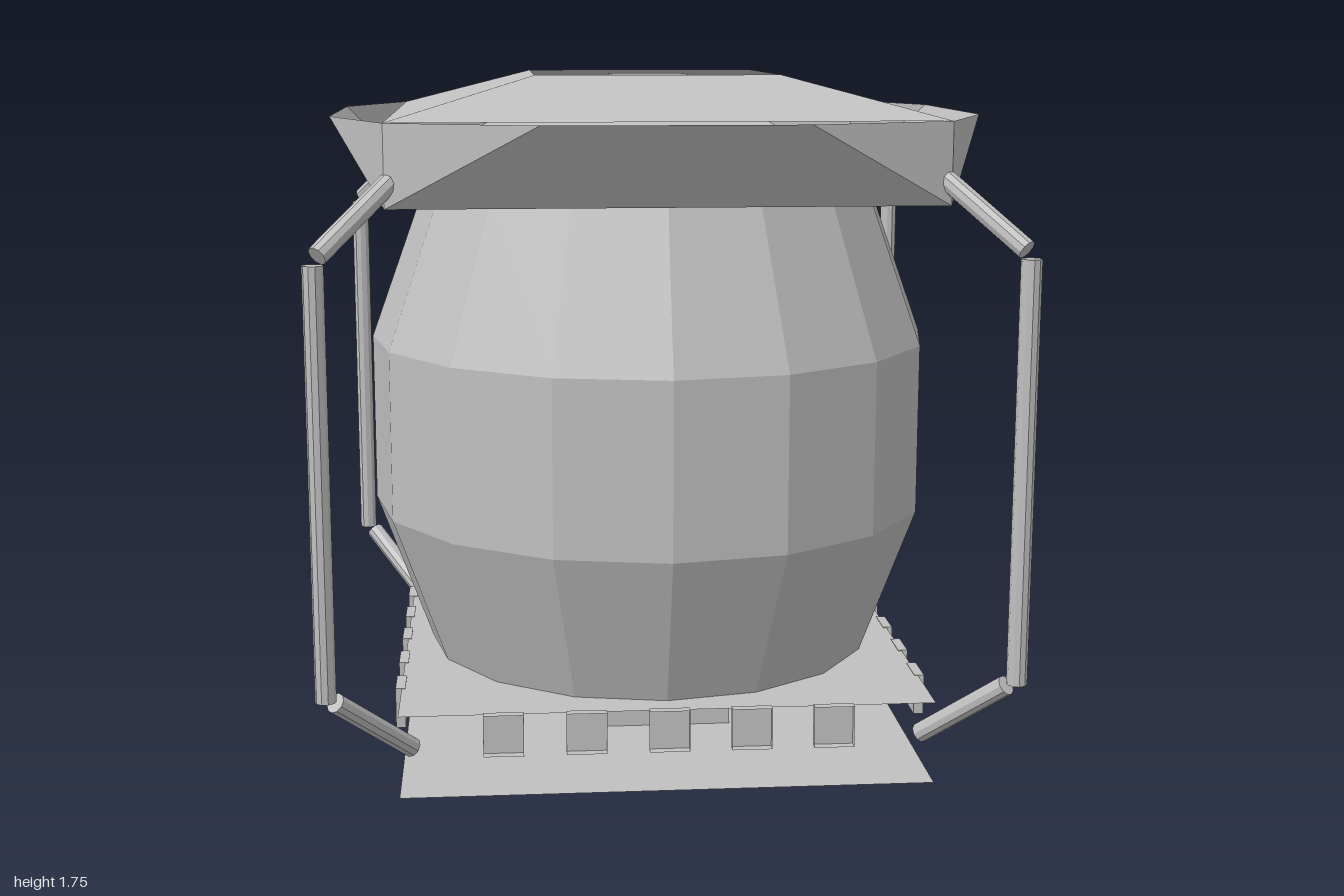
import * as THREE from 'three';

const CZ = 0.15; // centre of the body along z

export function createModel() {
  const group = new THREE.Group();
  const grey = new THREE.MeshStandardMaterial({ color: 0xc0c0c0, flatShading: true, side: THREE.DoubleSide });
  grey.name = 'plainGrey';

  function add(geometry, name, parent = group) {
    const mesh = new THREE.Mesh(geometry, grey);
    mesh.name = name;
    parent.add(mesh);
    return mesh;
  }

  function polygon(points) {
    const g = new THREE.BufferGeometry();
    g.setAttribute('position', new THREE.Float32BufferAttribute(points.flat(), 3));
    g.setIndex(points.length === 4 ? [0, 1, 2, 0, 2, 3] : [0, 1, 2]);
    g.computeVertexNormals();
    return g;
  }

  // Round rod between two points
  function rod(a, b, name, parent = group) {
    const start = new THREE.Vector3(...a), end = new THREE.Vector3(...b);
    const dir = end.clone().sub(start);
    const mesh = add(new THREE.CylinderGeometry(0.025, 0.025, dir.length(), 10), name, parent);
    mesh.position.copy(start).add(end).multiplyScalar(0.5);
    mesh.quaternion.setFromUnitVectors(new THREE.Vector3(0, 1, 0), dir.normalize());
  }

  // Flat horizontal square sheet with an optional square hole
  function sheet(half, hole, y, name) {
    const square = (C, h) => new C([[-h, -h], [h, -h], [h, h], [-h, h]].map(p => new THREE.Vector2(...p)));
    const shape = square(THREE.Shape, half);
    if (hole) shape.holes.push(square(THREE.Path, hole));
    const g = new THREE.ShapeGeometry(shape);
    g.rotateX(-Math.PI / 2);
    add(g, name).position.set(0, y, CZ);
  }

  // Open square tube
  function squareTube(half, y0, y1, name) {
    const g = new THREE.CylinderGeometry(half * Math.SQRT2, half * Math.SQRT2, y1 - y0, 4, 1, true);
    g.rotateY(Math.PI / 4);
    add(g, name).position.set(0, (y0 + y1) / 2, CZ);
  }

  // Open barrel body
  const profile = [[0.6, 0.21], [0.745, 0.605], [0.745, 1.05], [0.6, 1.45]].map(p => new THREE.Vector2(...p));
  add(new THREE.LatheGeometry(profile, 16), 'barrelBody').position.z = CZ;

  // Base sheets and central recess
  sheet(0.667, 0.205, 0, 'lowerPlate');
  sheet(0.667, 0, 0.21, 'upperPlate');
  squareTube(0.205, 0, 0.105, 'recessWalls');
  sheet(0.205, 0, 0.105, 'recessTop');

  // Small ring in the roof opening
  squareTube(0.1, 1.695, 1.745, 'roofRing');

  // Four identical sides: roof panel, flared flap, corner gussets, window boxes, leg
  for (let i = 0; i < 4; i++) {
    const side = new THREE.Group();
    side.name = 'side' + (i + 1);
    side.position.z = CZ;
    side.rotation.y = i * Math.PI / 2;
    group.add(side);

    add(polygon([[-0.67, 1.65, 0.67], [0.67, 1.65, 0.67], [0.31, 1.75, 0.31], [-0.31, 1.75, 0.31]]), 'roofPanel', side);
    add(polygon([[-0.67, 1.45, 0.67], [0.67, 1.45, 0.67], [0.31, 1.65, 0.82], [-0.31, 1.65, 0.82]]), 'roofFlap', side);
    add(polygon([[0.67, 1.45, 0.67], [0.67, 1.65, 0.67], [0.31, 1.65, 0.82]]), 'roofGusset', side);
    add(polygon([[-0.67, 1.45, 0.67], [-0.31, 1.65, 0.82], [-0.67, 1.65, 0.67]]), 'roofGusset', side);

    // Window boxes, open to the outside
    for (let k = -2; k <= 2; k++) {
      const box = new THREE.BoxGeometry(0.1, 0.105, 0.025);
      const kept = Array.from(box.index.array).filter((_, n) => n < 24 || n >= 30);
      box.setIndex(kept);
      add(box, 'windowBox', side).position.set(k * 0.205, 0.159, 0.67);
    }

    // Corner leg in three pieces
    rod([0.825, 0.31, 0.825], [0.825, 1.34, 0.825], 'legPost', side);
    rod([0.655, 1.515, 0.655], [0.815, 1.36, 0.815], 'legUpperStrut', side);
    rod([0.805, 0.3, 0.805], [0.635, 0.12, 0.635], 'legLowerStrut', side);
  }

  // Slanted rear rods
  rod([0, 1.46, -0.52], [0, 0.99, -0.98], 'rearUpperRod');
  rod([0, 0.17, -0.475], [0, 0.665, -0.975], 'rearLowerRod');

  return group;
}
